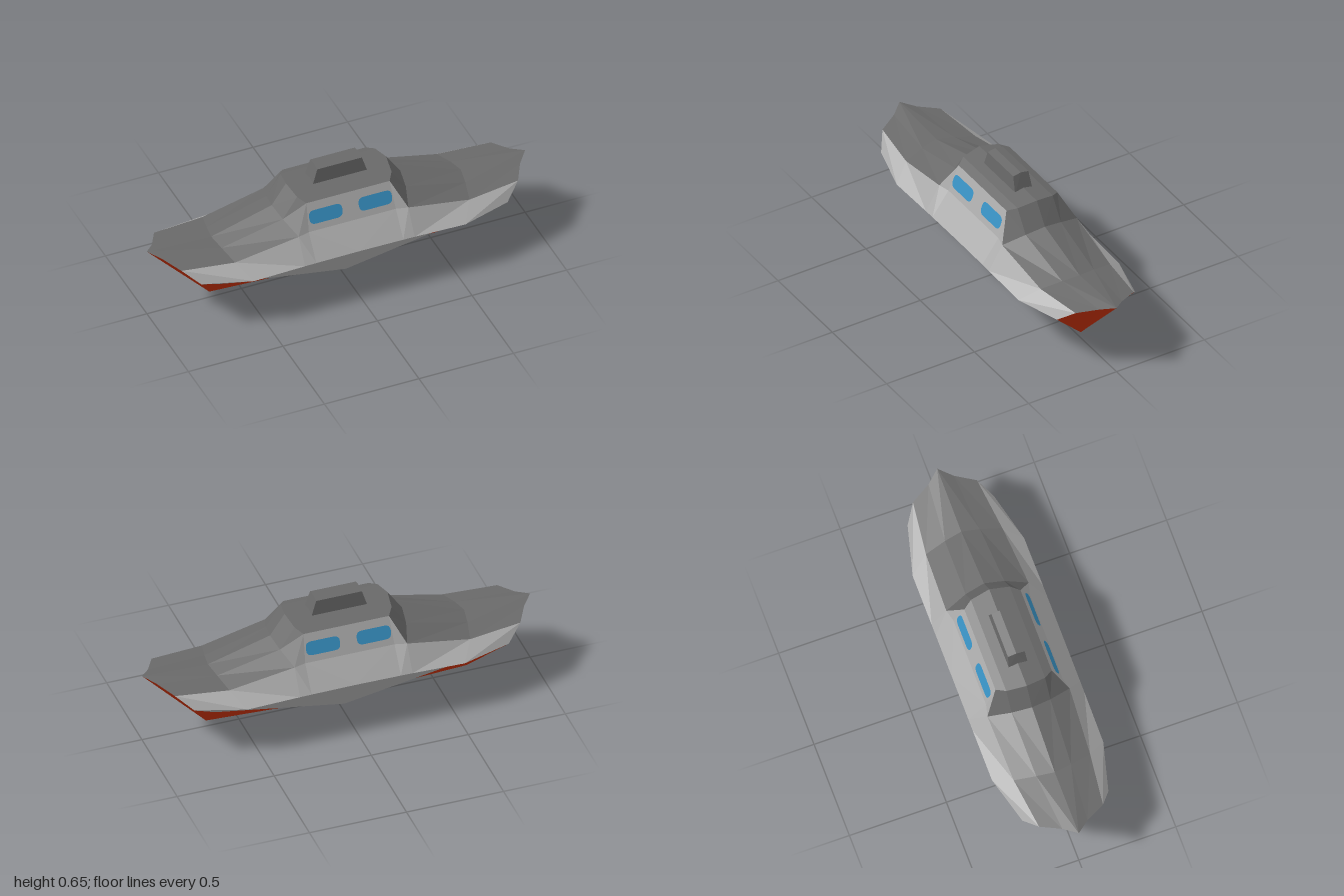
import * as THREE from 'three';

const paint = (name, color) => {
  const m = new THREE.MeshStandardMaterial({ color });
  m.name = name;
  m.flatShading = true;
  return m;
};

// Lengthwise hull lines for one quarter of the boat, midship to bow: [x, y, z]
const keel = [[0, 0, 0], [0.67, 0.033, 0]];
const chine = [[0, 0.05, 0.12], [0.66, 0.155, 0.11]];
const sheer = [[0, 0.277, 0.288], [0.23, 0.275, 0.288], [0.29, 0.274, 0.288], [0.56, 0.266, 0.287], [0.81, 0.278, 0.222]];
const shoulder = [[0, 0.4, 0.197], [0.23, 0.4, 0.197], [0.29, 0.4, 0.212], [0.62, 0.335, 0.197], [0.89, 0.345, 0.165]];
const roofEdge = [[0, 0.537, 0.145], [0.2, 0.537, 0.145], [0.22, 0.537, 0.145]];
const deckEdge = [roofEdge[0], roofEdge[2], ...shoulder.slice(2)];
const deckMid = [[0, 0.553, 0.1], [0.25, 0.553, 0.1], [0.325, 0.44, 0.1], [0.645, 0.357, 0.09], [0.945, 0.362, 0.065]];
const deckTop = [[0, 0.57, 0], [0.265, 0.57, 0], [0.34, 0.46, 0], [0.66, 0.367, 0], [1, 0.38, 0]];

// Triangles between a lower line and an upper line
function strip(low, high) {
  const tris = [];
  for (let i = 0; i < low.length - 1; i++) {
    tris.push([low[i], low[i + 1], high[i + 1]], [low[i], high[i + 1], high[i]]);
  }
  return tris;
}

// Triangles fanning out from the first point
function fan(points) {
  const tris = [];
  for (let i = 1; i < points.length - 1; i++) tris.push([points[0], points[i], points[i + 1]]);
  return tris;
}

// Mirrors quarter triangles to bow/stern and both sides, keeping faces outward
function mirrored(tris, material, name) {
  const pos = [];
  for (const sx of [1, -1]) for (const sz of [1, -1]) {
    for (const [a, b, c] of tris) {
      for (const p of sx * sz > 0 ? [a, b, c] : [a, c, b]) pos.push(p[0] * sx, p[1], p[2] * sz);
    }
  }
  const g = new THREE.BufferGeometry();
  g.setAttribute('position', new THREE.Float32BufferAttribute(pos, 3));
  g.computeVertexNormals();
  const mesh = new THREE.Mesh(g, material);
  mesh.name = name;
  return mesh;
}

function roundedRect(w, h, r) {
  const s = new THREE.Shape();
  const x = w / 2, y = h / 2;
  s.moveTo(-x + r, -y);
  s.lineTo(x - r, -y).quadraticCurveTo(x, -y, x, -y + r);
  s.lineTo(x, y - r).quadraticCurveTo(x, y, x - r, y);
  s.lineTo(-x + r, y).quadraticCurveTo(-x, y, -x, y - r);
  s.lineTo(-x, -y + r).quadraticCurveTo(-x, -y, -x + r, -y);
  return s;
}

export function createModel() {
  const boat = new THREE.Group();
  boat.name = 'boat';
  const grey = paint('deckGrey', 0x696969);
  const light = paint('lightGrey', 0xacacac);
  const red = paint('hullRed', 0xc63008);
  const blue = paint('windowBlue', 0x3790c2);

  // Hull: red bottom and raked ends, light grey sides
  boat.add(mirrored(strip(keel, chine), red, 'hullBottom'));
  const end = [keel[1], deckTop[4], deckMid[4], shoulder[4], sheer[4], chine[1]];
  boat.add(mirrored(fan(end), red, 'hullEnds'));
  const side = fan([chine[1], ...sheer.slice().reverse(), chine[0]]);
  boat.add(mirrored(side, light, 'hullSides'));

  // Topsides and cabin walls, slightly recessed around the windows
  boat.add(mirrored(strip(sheer, shoulder), light, 'topsides'));
  boat.add(mirrored(strip(shoulder.slice(0, 3), roofEdge), light, 'cabinWalls'));

  // Deck, windshields and roof in one ridged surface
  boat.add(mirrored([...strip(deckEdge, deckMid), ...strip(deckMid, deckTop)], grey, 'deckAndRoof'));

  // Tapered funnel with a shallow ridge on top
  const base = [[0, 0.55, 0.049], [0.146, 0.55, 0.049], [0.146, 0.55, 0]];
  const rim = [[0, 0.64, 0.043], [0.118, 0.64, 0.043], [0.118, 0.648, 0]];
  const ridge = [[0, 0.648, 0], [0.118, 0.648, 0]];
  boat.add(mirrored([...strip(base, rim), ...strip(rim.slice(0, 2), ridge)], grey, 'funnel'));

  // Flat windows lying just proud of the sloped cabin walls
  const glass = new THREE.ShapeGeometry(roundedRect(0.176, 0.07, 0.03), 4);
  const slope = Math.atan2(0.052, 0.137);
  for (const turn of [0, Math.PI]) {
    const row = new THREE.Group();
    row.name = turn ? 'backWindows' : 'frontWindows';
    row.rotation.y = turn;
    for (const x of [-0.131, 0.131]) {
      const w = new THREE.Mesh(glass, blue);
      w.name = 'window';
      w.position.set(x, 0.466, 0.176);
      w.rotation.x = -slope;
      row.add(w);
    }
    boat.add(row);
  }
  return boat;
}
